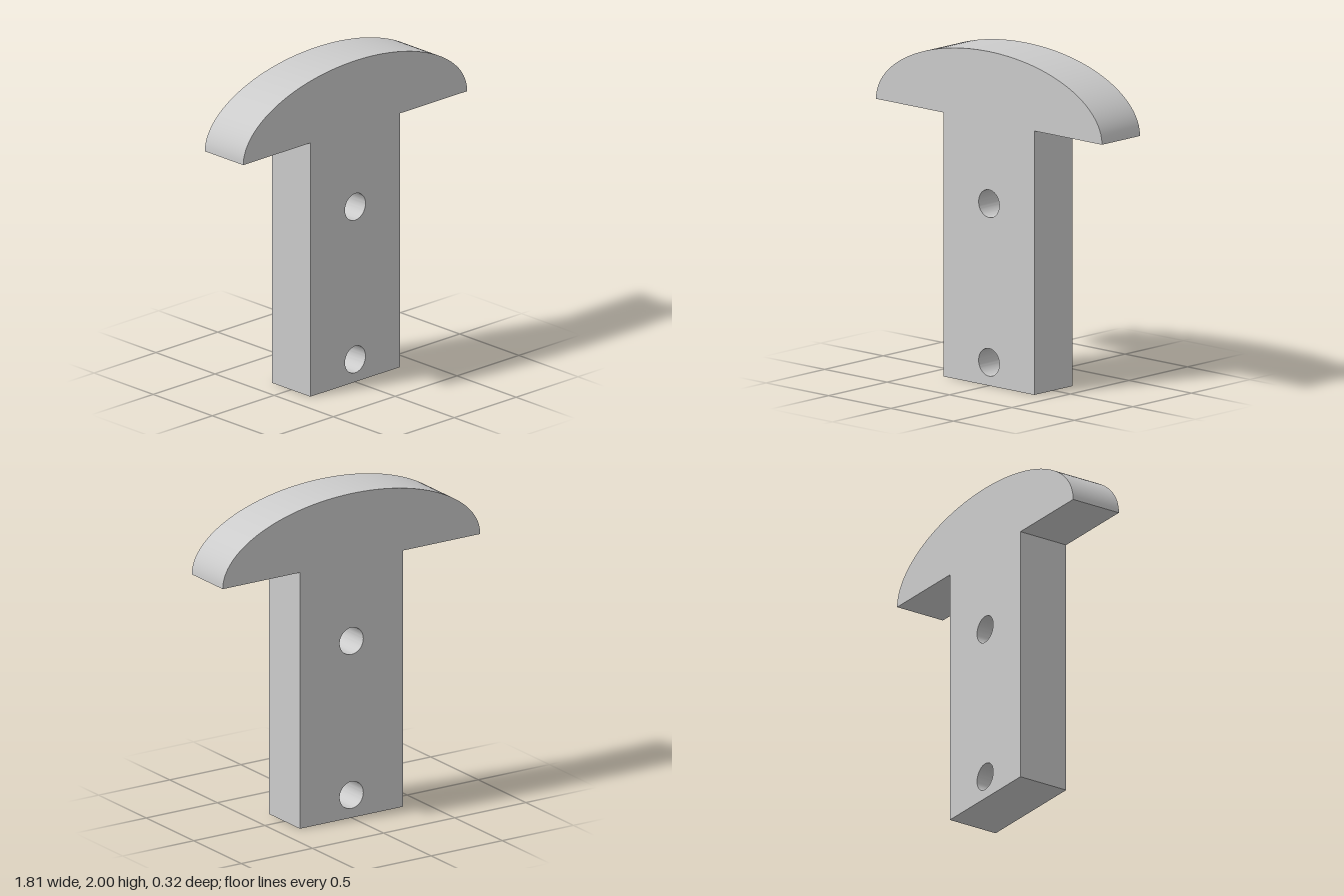
import * as THREE from 'three';
import { toCreasedNormals } from 'three/addons/utils/BufferGeometryUtils.js';

const DEPTH = 0.325;
const STEM_HALF = 0.363, HEAD_HALF = 0.905;
const HEAD_BASE = 1.58, TOP = 2;
const HOLE_RADIUS = 0.083, HOLE_HEIGHTS = [0.14, 1.09];

export function createModel() {
  const group = new THREE.Group();
  group.name = 'mushroomPlate';

  // Outline: straight stem under a half-ellipse head
  const outline = new THREE.Shape();
  outline.moveTo(-STEM_HALF, 0);
  outline.lineTo(STEM_HALF, 0);
  outline.lineTo(STEM_HALF, HEAD_BASE);
  outline.lineTo(HEAD_HALF, HEAD_BASE);
  outline.absellipse(0, HEAD_BASE, HEAD_HALF, TOP - HEAD_BASE, 0, Math.PI, false, 0);
  outline.lineTo(-STEM_HALF, HEAD_BASE);
  outline.closePath();

  // Round through holes on the centre line
  for (const y of HOLE_HEIGHTS) {
    const hole = new THREE.Path();
    hole.absarc(0, y, HOLE_RADIUS, 0, Math.PI * 2, true);
    outline.holes.push(hole);
  }

  const geometry = new THREE.ExtrudeGeometry(outline, {
    depth: DEPTH, bevelEnabled: false, curveSegments: 32,
  });
  geometry.translate(0, 0, -DEPTH / 2);

  const plate = new THREE.Mesh(
    toCreasedNormals(geometry, Math.PI / 6),
    new THREE.MeshStandardMaterial({ color: 0xcccccc }),
  );
  plate.name = 'plate';
  group.add(plate);
  return group;
}
